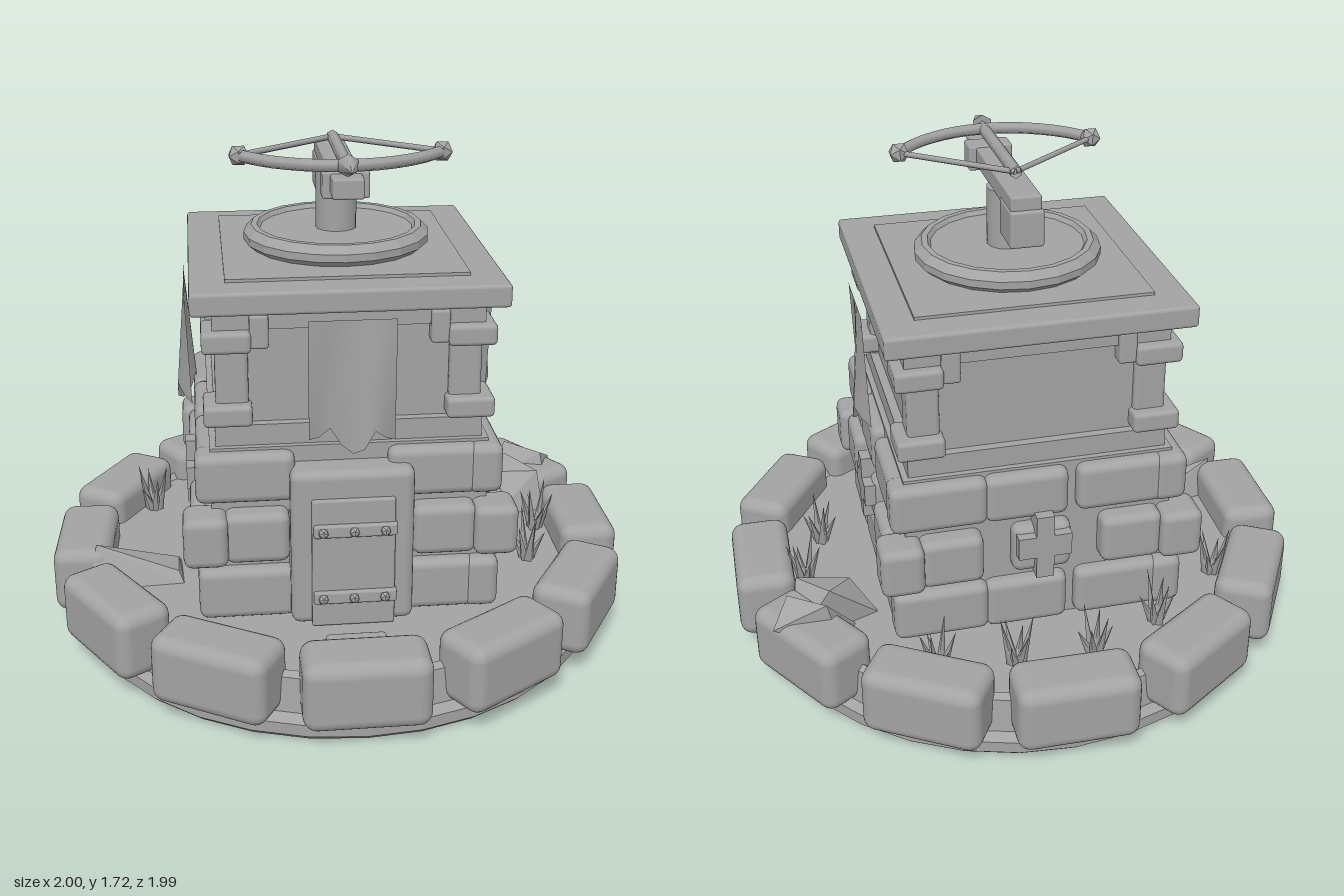
import * as THREE from 'three';
import { RoundedBoxGeometry } from 'three/addons/geometries/RoundedBoxGeometry.js';
import { ConvexGeometry } from 'three/addons/geometries/ConvexGeometry.js';

const stone = new THREE.MeshStandardMaterial({ color: 0xa3a3a3, side: THREE.DoubleSide });
stone.name = 'stoneGrey';

function add(parent, name, geometry, x = 0, y = 0, z = 0) {
  const mesh = new THREE.Mesh(geometry, stone);
  mesh.name = name;
  mesh.position.set(x, y, z);
  parent.add(mesh);
  return mesh;
}

function group(parent, name, x = 0, y = 0, z = 0) {
  const g = new THREE.Group();
  g.name = name;
  g.position.set(x, y, z);
  parent.add(g);
  return g;
}

// Box given by its limits; r rounds the edges
function block(parent, name, [x0, x1], [y0, y1], [z0, z1], r = 0) {
  const w = x1 - x0, h = y1 - y0, d = z1 - z0;
  const geo = r ? new RoundedBoxGeometry(w, h, d, 2, r) : new THREE.BoxGeometry(w, h, d);
  return add(parent, name, geo, (x0 + x1) / 2, (y0 + y1) / 2, (z0 + z1) / 2);
}

// Straight rod between two points
function rod(parent, name, a, b, r) {
  return add(parent, name, new THREE.TubeGeometry(new THREE.LineCurve3(a, b), 1, r, 6));
}

// Faceted solid around a few points
function rock(parent, name, points) {
  const geo = new ConvexGeometry(points.map(p => new THREE.Vector3(...p)));
  return add(parent, name, geo);
}

// Hanging cloth with a wave that grows downwards and a ragged hem
function bannerGeometry() {
  const geo = new THREE.PlaneGeometry(0.275, 0.4, 8, 5);
  const hem = [0.84, 0.84, 0.87, 0.82, 0.8, 0.82, 0.88, 0.85, 0.83];
  const p = geo.attributes.position;
  for (let i = 0; i < p.count; i++) {
    const col = i % 9, t = Math.floor(i / 9) / 5;
    p.setY(i, THREE.MathUtils.lerp(1.24, hem[col], t));
    p.setZ(i, 0.515 + 0.035 * t * Math.cos(2 * Math.PI * (col / 8 - 0.68)));
  }
  geo.computeVertexNormals();
  return geo;
}

// Everything that belongs to one side of the tower; side 0 is the front
function buildSide(root, side) {
  const g = group(root, 'towerSide' + side);
  g.rotation.y = side * Math.PI / 2;

  // Overlapping brick courses
  const outer = [[-0.5, -0.18], [-0.19, 0.09], [0.12, 0.42]];
  for (const y of [[0.2, 0.38], [0.62, 0.79]])
    for (const x of outer) {
      if (side === 0 && x[0] === -0.19) continue;
      block(g, 'brick', x, y, [0.38, 0.495], 0.03);
    }
  block(g, 'cornerBrick', [-0.545, -0.4], [0.415, 0.59], [0.4, 0.545], 0.03);
  for (const x of [[-0.41, -0.2], [0.2, 0.41]])
    block(g, 'brick', x, [0.415, 0.59], [0.38, 0.52], 0.03);

  // Cross-shaped arrow slit
  if (side !== 0) {
    block(g, 'brick', [-0.1, 0.1], [0.415, 0.59], [0.38, 0.5], 0.03);
    block(g, 'slitUpright', [-0.03, 0.03], [0.41, 0.645], [0.44, 0.53]);
    block(g, 'slitBar', [-0.09, 0.09], [0.49, 0.57], [0.44, 0.53]);
  }

  // Timber frame
  block(g, 'lowerBeam', [-0.43, 0.43], [0.8, 0.87], [0.36, 0.43]);
  block(g, 'upperBeam', [-0.43, 0.43], [1.19, 1.25], [0.36, 0.43]);
  block(g, 'cornerPost', [-0.425, -0.32], [0.8, 1.25], [0.32, 0.425], 0.015);
  for (const y of [[0.875, 0.945], [1.12, 1.19]])
    block(g, 'postCollar', [-0.465, -0.31], y, [0.31, 0.465], 0.015);
  for (const s of [-1, 1])
    block(g, 'bracket', [s * 0.285 - 0.03, s * 0.285 + 0.03], [1.13, 1.24], [0.38, 0.45], 0.01);

  if (side !== 2) add(g, 'banner', bannerGeometry());
}

function buildDoor(root) {
  const g = group(root, 'door');
  block(g, 'doorFrame', [-0.2, 0.2], [0.2, 0.745], [0.4, 0.55], 0.03);
  block(g, 'doorPanel', [-0.135, 0.135], [0.2, 0.655], [0.5, 0.565], 0.008);
  for (const y of [0.31, 0.55]) {
    block(g, 'doorStrap', [-0.13, 0.14], [y - 0.022, y + 0.022], [0.54, 0.58], 0.008);
    for (const x of [-0.1, 0, 0.1])
      add(g, 'stud', new THREE.IcosahedronGeometry(0.018, 0), x, y, 0.583);
  }
  block(g, 'stepStone', [-0.1, 0.1], [0.17, 0.215], [0.63, 0.73], 0.015);
  block(g, 'stepStone', [-0.09, 0.09], [0.17, 0.215], [0.76, 0.84], 0.015);
}

function buildCrossbow(root) {
  const g = group(root, 'crossbow');
  const v = (x, z, y = 1.675) => new THREE.Vector3(x, y, z);
  add(g, 'pivotPost', new THREE.CylinderGeometry(0.068, 0.068, 0.2, 16), 0, 1.49, 0);
  block(g, 'stock', [-0.05, 0.05], [1.58, 1.645], [-0.255, 0.385], 0.008);
  block(g, 'counterweight', [-0.055, 0.055], [1.48, 1.6], [-0.27, -0.12], 0.008);
  block(g, 'bowMount', [-0.075, 0.075], [1.565, 1.65], [0.225, 0.31], 0.008);

  // Curved bow with knobs and string
  const bow = new THREE.CatmullRomCurve3([v(-0.33, 0.155), v(-0.235, 0.25), v(-0.11, 0.315),
    v(0, 0.33), v(0.11, 0.315), v(0.235, 0.25), v(0.33, 0.155)]);
  add(g, 'bowArm', new THREE.TubeGeometry(bow, 16, 0.02, 6));
  for (const s of [-1, 1]) {
    add(g, 'bowKnob', new THREE.IcosahedronGeometry(0.036, 0), s * 0.325, 1.675, 0.155);
    rod(g, 'bowString', v(s * 0.33, 0.155), v(0, 0.11 * -1), 0.01);
  }

  // Loaded bolt
  rod(g, 'boltShaft', v(0, -0.12), v(0, 0.37), 0.02);
  const head = add(g, 'boltHead', new THREE.ConeGeometry(0.036, 0.11, 6), 0, 1.68, 0.41);
  head.rotation.x = Math.PI / 2;
}

// Splayed blades of grass
function buildTuft(root, x, z, turn) {
  const g = group(root, 'grassTuft', x, 0.19, z);
  g.rotation.y = turn;
  for (let i = 0; i < 6; i++) {
    const blade = group(g, 'blade');
    blade.rotation.set(0, i * Math.PI / 3, 0);
    const h = 0.12 + 0.035 * (i % 3);
    const cone = add(blade, 'bladeCone', new THREE.ConeGeometry(0.018, h, 4), 0.035, h / 2, 0);
    cone.rotation.z = -0.45 + 0.12 * (i % 3);
  }
}

export function createModel() {
  const root = new THREE.Group();
  root.name = 'ballistaTower';

  // Round base with bevelled rim
  const rim = [[0, 0], [0.905, 0], [0.925, 0.02], [0.925, 0.06], [0.9, 0.085],
    [0.885, 0.2], [0.865, 0.215], [0.845, 0.195], [0, 0.195]];
  const baseGeo = new THREE.LatheGeometry(rim.map(p => new THREE.Vector2(...p)), 32).toNonIndexed();
  baseGeo.computeVertexNormals();
  add(root, 'base', baseGeo);

  // Ring of boulders
  const ring = group(root, 'boulderWall');
  for (let i = 0; i < 12; i++) {
    const a = i * Math.PI / 6;
    const b = add(ring, 'boulder', new RoundedBoxGeometry(0.4, 0.235, 0.2, 3, 0.045),
      0.895 * Math.sin(a), 0.197, 0.895 * Math.cos(a));
    b.rotation.y = a + 0.05 * Math.sin(i * 2);
  }

  // Tower core, sides and door
  block(root, 'brickCore', [-0.45, 0.45], [0.19, 0.8], [-0.45, 0.45]);
  block(root, 'upperCore', [-0.4, 0.4], [0.8, 1.26], [-0.4, 0.4]);
  for (let side = 0; side < 4; side++) buildSide(root, side);
  buildDoor(root);

  // Roof platform and turntable
  block(root, 'roofSlab', [-0.497, 0.497], [1.255, 1.33], [-0.497, 0.497], 0.012);
  block(root, 'roofInset', [-0.385, 0.385], [1.3, 1.34], [-0.385, 0.385]);
  const disc = [[0, 1.335], [0.28, 1.335], [0.31, 1.36], [0.31, 1.385], [0.285, 1.41],
    [0.265, 1.41], [0.255, 1.395], [0, 1.395]];
  const discGeo = new THREE.LatheGeometry(disc.map(p => new THREE.Vector2(...p)), 20).toNonIndexed();
  discGeo.computeVertexNormals();
  add(root, 'turntable', discGeo);
  buildCrossbow(root);

  // Grass and fallen rocks
  const tufts = [[-0.125, -0.7], [0.135, -0.68], [0.39, -0.65], [-0.38, -0.58],
    [-0.665, -0.36], [0.755, -0.06], [0.67, 0.17]];
  tufts.forEach(([x, z], i) => buildTuft(root, x, z, i));
  rock(root, 'rockSlab', [[-0.88, 0.19, 0.25], [-0.56, 0.19, 0.06], [-0.55, 0.19, 0.23],
    [-0.85, 0.33, 0.17], [-0.57, 0.22, 0.08], [-0.57, 0.23, 0.2], [-0.8, 0.19, 0.12]]);
  rock(root, 'largeRubble', [[0.53, 0.19, -0.3], [0.62, 0.19, -0.16], [0.82, 0.19, -0.2],
    [0.84, 0.19, -0.42], [0.62, 0.33, -0.27], [0.8, 0.34, -0.24], [0.7, 0.36, -0.37]]);
  rock(root, 'smallRubble', [[0.68, 0.2, -0.47], [0.9, 0.3, -0.46], [0.86, 0.2, -0.3],
    [0.72, 0.37, -0.46], [0.84, 0.36, -0.36], [0.62, 0.22, -0.38]]);
  return root;
}
